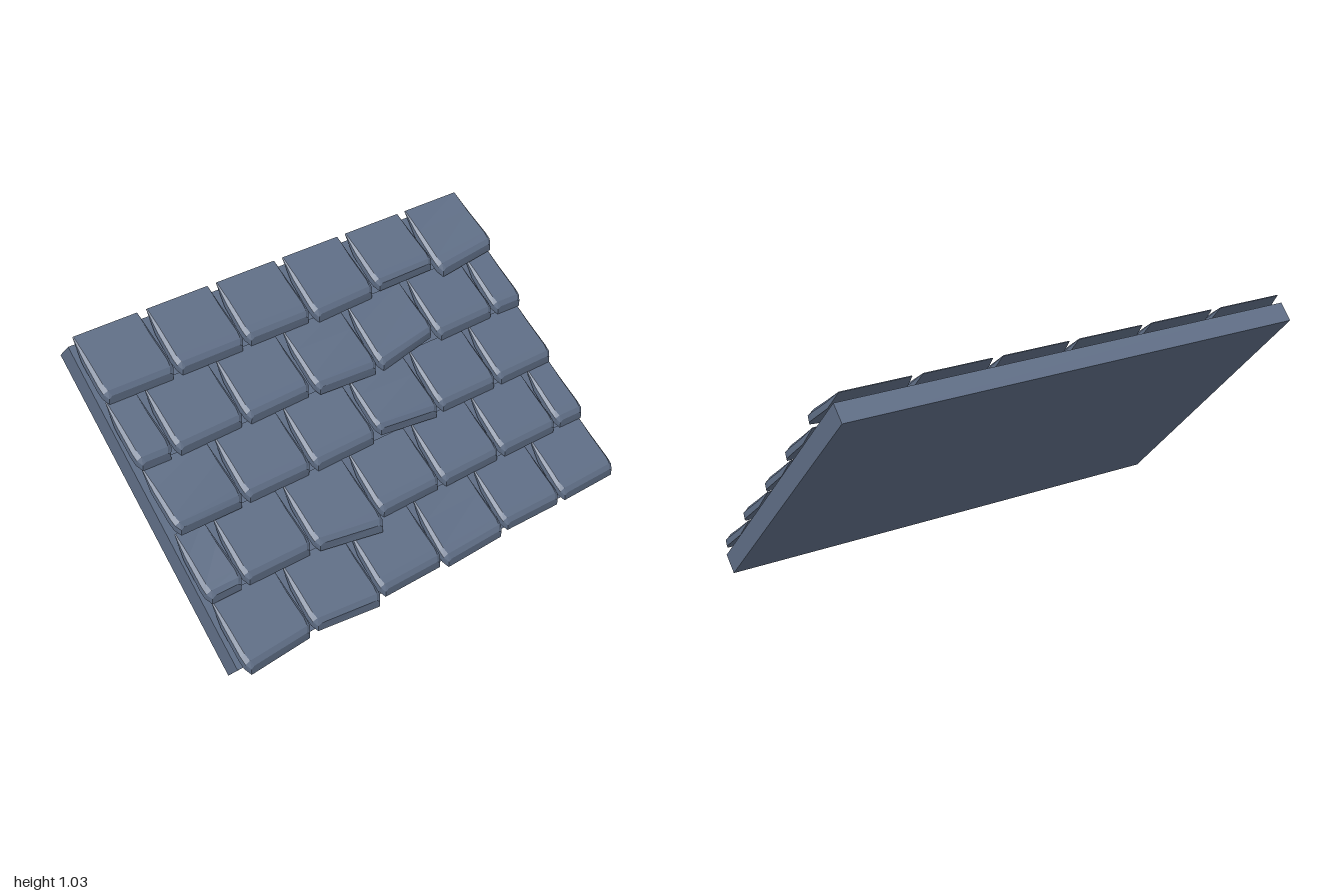
import * as THREE from 'three';

const PITCH = 1 / 3;
const ROW_STEP = 0.1925;
const TILT = 0.63;

// Cross-sections down the tile:
// [v, side inset, bevel inset, top w, side w, bottom w, bottom v offset]
const SECTIONS = [
  [0, 0.016, 0.003, 0, -0.0015, -0.003, 0],
  [0.095, 0.008, 0.012, 0, -0.010, -0.031, 0],
  [0.215, 0.002, 0.015, 0, -0.012, -0.036, 0.006],
  [0.245, 0.004, 0.018, -0.001, -0.013, -0.037, 0.01],
  [0.266, 0.018, 0.014, -0.010, -0.018, -0.038, 0.018],
];

// Per tile: [left lip shift, right lip shift, left lift, right lift]
const ROWS = [
  [[0.018, 0.0], [-0.008, 0.022], [0, -0.002], [0.012, 0.006, -0.014, 0], [-0.004, 0], [0, -0.003]],
  [[0, 0.004, -0.004, 0.012], [0, 0.002], [0.004, 0.05, 0.006, 0.004], [0, -0.002], [0.002, 0], [0, 0.002], [-0.004, 0]],
  [[0.006, 0.004, 0.02, 0.002], [0, 0], [0.002, -0.002], [-0.018, 0.01, 0.012, 0], [0, 0.002], [0, 0]],
  [[0, 0.004], [0.006, 0], [0.004, -0.003], [0.01, 0.022, 0.012, 0], [0.024, -0.024, -0.004, 0.008], [0.004, 0], [-0.002, 0.002]],
  [[0, 0.004], [0.002, 0.004], [-0.002, 0], [0.014, 0.004], [-0.006, -0.008, 0.012, 0.012], [0.036, 0.008, 0, 0.014]],
];

// Wedge-shaped tile: thin upper edge, thick bevelled lower lip
function tileGeometry(x0, x1, [dl, dr, liftL = 0, liftR = 0]) {
  const pos = [];
  const index = [];
  const n = 6;
  for (const [v, inset, bevel, top, side, bottom, dv] of SECTIONS) {
    const l = x0 + inset;
    const r = x1 - inset;
    const loop = [
      [l, bottom, v + dv], [r, bottom, v + dv], [r, side, v + dv * 0.3],
      [r - bevel, top, v], [l + bevel, top, v], [l, side, v + dv * 0.3],
    ];
    for (const [x, w, d] of loop) {
      const t = (x - x0) / (x1 - x0);
      const f = d / 0.266;
      pos.push(x, w + f * (liftL + (liftR - liftL) * t), d + f * (dl + (dr - dl) * t));
    }
  }
  const last = (SECTIONS.length - 1) * n;
  for (let s = 0; s < last; s += n) {
    for (let j = 0; j < n; j++) {
      const k = (j + 1) % n;
      index.push(s + j, s + k, s + n + k, s + j, s + n + k, s + n + j);
    }
  }
  for (let j = 1; j < n - 1; j++) {
    index.push(0, j + 1, j);
    index.push(last, last + j, last + j + 1);
  }
  const indexed = new THREE.BufferGeometry();
  indexed.setAttribute('position', new THREE.Float32BufferAttribute(pos, 3));
  indexed.setIndex(index);
  const geometry = indexed.toNonIndexed();
  geometry.computeVertexNormals();
  return geometry;
}

export function createModel() {
  const model = new THREE.Group();
  model.name = 'roofSection';
  const slate = new THREE.MeshStandardMaterial({ color: 0x606f87 });
  slate.name = 'slateBlue';

  // Sloping backing board
  const board = new THREE.Mesh(new THREE.BoxGeometry(2, 0.081, 1.333), slate);
  board.name = 'roofBoard';
  board.position.set(0, 0.5, -0.03);
  board.rotation.x = Math.PI / 4;
  model.add(board);

  // Overlapping tile courses; every second one is shifted by half a tile
  ROWS.forEach((tiles, i) => {
    const course = new THREE.Group();
    course.name = `tileCourse${i + 1}`;
    course.position.set(0, 0.265 + i * ROW_STEP, 0.3 - i * ROW_STEP);
    course.rotation.x = TILT;
    const shift = i % 2 ? -PITCH / 2 : 0;
    tiles.forEach((shape, j) => {
      const left = -1 + shift + j * PITCH;
      const x0 = Math.max(-1, left + 0.005);
      const x1 = Math.min(1, left + PITCH - 0.005);
      const tile = new THREE.Mesh(tileGeometry(x0, x1, shape), slate);
      tile.name = `tile${j + 1}`;
      course.add(tile);
    });
    model.add(course);
  });
  return model;
}
